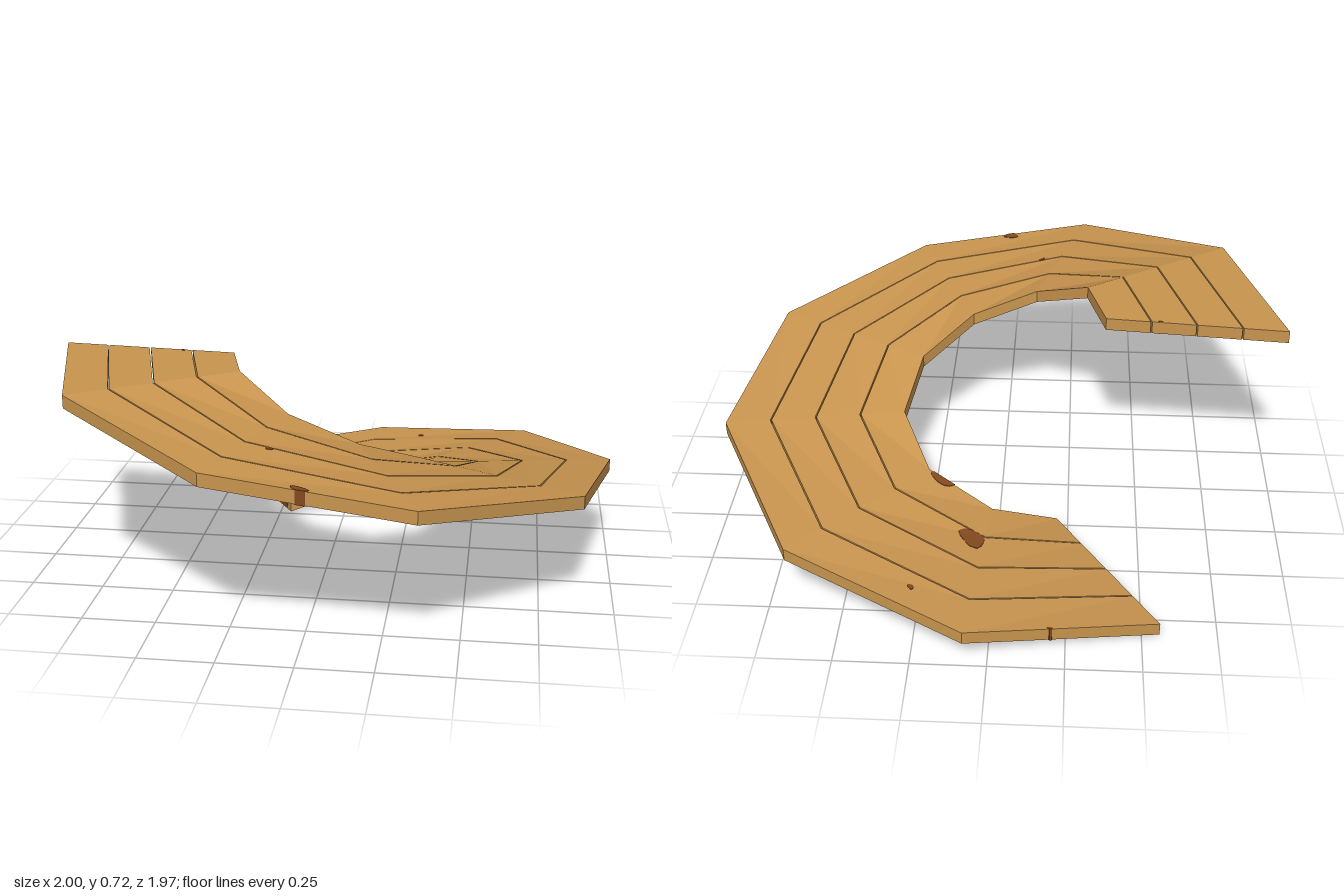
import * as THREE from 'three';

const THICK = 0.045, PLANKS = 4, GAP = 0.005;

// Stations along the ramp: outer x, outer z, inner x, inner z, underside height
const STATIONS = [
  [-0.56, -0.82, -0.21, -0.27, 0],
  [0.08, -0.985, 0.02, -0.33, 0.08],
  [0.69, -0.72, 0.25, -0.24, 0.18],
  [1.0, -0.13, 0.36, -0.02, 0.28],
  [0.88, 0.52, 0.31, 0.21, 0.38],
  [0.37, 0.955, 0.13, 0.375, 0.475],
  [-0.29, 0.98, -0.11, 0.385, 0.575],
  [-0.82, 0.59, -0.30, 0.24, 0.675],
  [-1.0, -0.05, -0.365, 0.01, 0.675],
];

// Point across a station on the underside (0 = outer edge, 1 = inner edge)
function across(i, t) {
  const [ox, oz, ix, iz, y] = STATIONS[i];
  return new THREE.Vector3(ox + (ix - ox) * t, y, oz + (iz - oz) * t);
}

// Outer and inner edge of one plank at a station, leaving a narrow seam
function plankEdges(i, plank) {
  const [ox, oz, ix, iz] = STATIONS[i];
  const half = GAP / 2 / Math.hypot(ix - ox, iz - oz);
  return [
    across(i, plank / PLANKS + (plank > 0 ? half : 0)),
    across(i, (plank + 1) / PLANKS - (plank < PLANKS - 1 ? half : 0)),
  ];
}

const raise = (p, h) => p.clone().setY(p.y + h);

function quad(out, a, b, c, d) {
  out.push(a, b, c, a, c, d);
}

// Unindexed triangles give crisp flat faces
function facetedMesh(points, material, name) {
  const geometry = new THREE.BufferGeometry().setFromPoints(points);
  geometry.computeVertexNormals();
  const mesh = new THREE.Mesh(geometry, material);
  mesh.name = name;
  return mesh;
}

function makePlank(plank, material) {
  const out = [];
  const up = (p) => raise(p, THICK);
  const last = STATIONS.length - 1;
  for (let i = 0; i < last; i++) {
    const [a, c] = plankEdges(i, plank);
    const [b, d] = plankEdges(i + 1, plank);
    quad(out, up(c), up(d), up(b), up(a));
    quad(out, b, d, c, a);
    quad(out, b, a, up(a), up(b));
    quad(out, c, d, up(d), up(c));
    if (i === 0) quad(out, a, c, up(c), up(a));
    if (i === last - 1) quad(out, d, b, up(b), up(d));
  }
  return facetedMesh(out, material, 'plank' + (plank + 1));
}

// Irregular knot running through one plank, trimmed at the plank edges
function makeKnot({ seg, plank, u, w, ru, rw }, material) {
  const [a, c] = plankEdges(seg, plank);
  const [b, d] = plankEdges(seg + 1, plank);
  const length = a.clone().add(c).distanceTo(b.clone().add(d)) / 2;
  const width = a.distanceTo(c);
  const onPlank = (s, t) => {
    s = THREE.MathUtils.clamp(s, -0.005, 1.005);
    t = THREE.MathUtils.clamp(t, -0.012, 1.012);
    return s + t < 1
      ? a.clone().addScaledVector(b.clone().sub(a), s).addScaledVector(c.clone().sub(a), t)
      : d.clone().addScaledVector(c.clone().sub(d), 1 - s).addScaledVector(b.clone().sub(d), 1 - t);
  };
  const N = 12, ring = [];
  for (let j = 0; j < N; j++) {
    const q = (j / N) * Math.PI * 2, k = 1 + 0.12 * Math.sin(3 * q + seg);
    ring.push(onPlank(u + (Math.cos(q) * ru * k) / length, w + (Math.sin(q) * rw * k) / width));
  }
  const out = [], mid = onPlank(u, w), low = -0.002, high = THICK + 0.002;
  ring.forEach((p, j) => {
    const n = ring[(j + 1) % N];
    out.push(raise(mid, high), raise(n, high), raise(p, high));
    out.push(raise(mid, low), raise(p, low), raise(n, low));
    quad(out, raise(n, low), raise(p, low), raise(p, high), raise(n, high));
  });
  return facetedMesh(out, material, 'knot');
}

export function createModel() {
  const wood = new THREE.MeshStandardMaterial({ color: 0xc9954f });
  wood.name = 'wood';
  const darkWood = new THREE.MeshStandardMaterial({ color: 0x834a20 });
  darkWood.name = 'darkWood';

  const ramp = new THREE.Group();
  ramp.name = 'spiralRamp';
  for (let p = 0; p < PLANKS; p++) ramp.add(makePlank(p, wood));

  // Knots in the planks
  [
    { seg: 1, plank: 2, u: 0.1, w: 0.8, ru: 0.045, rw: 0.045 },
    { seg: 1, plank: 0, u: 0.31, w: 0.6, ru: 0.011, rw: 0.011 },
    { seg: 1, plank: 3, u: 0.76, w: 0.95, ru: 0.055, rw: 0.022 },
    { seg: 5, plank: 0, u: 0.53, w: 0.1, ru: 0.025, rw: 0.022 },
    { seg: 5, plank: 1, u: 0.82, w: 0.95, ru: 0.013, rw: 0.01 },
    { seg: 0, plank: 0, u: 0.56, w: 0.02, ru: 0.007, rw: 0.006 },
    { seg: 7, plank: 2, u: 0.98, w: 0.8, ru: 0.007, rw: 0.007 },
  ].forEach((k) => ramp.add(makeKnot(k, darkWood)));

  // Knot on the cut end at the foot of the ramp
  const endKnot = new THREE.Mesh(new THREE.BoxGeometry(0.065, 0.04, 0.004), darkWood);
  endKnot.name = 'endKnot';
  endKnot.position.set(-0.243, 0.0225, -0.322);
  endKnot.rotation.y = Math.atan2(-0.55, 0.35);
  ramp.add(endKnot);

  return ramp;
}
